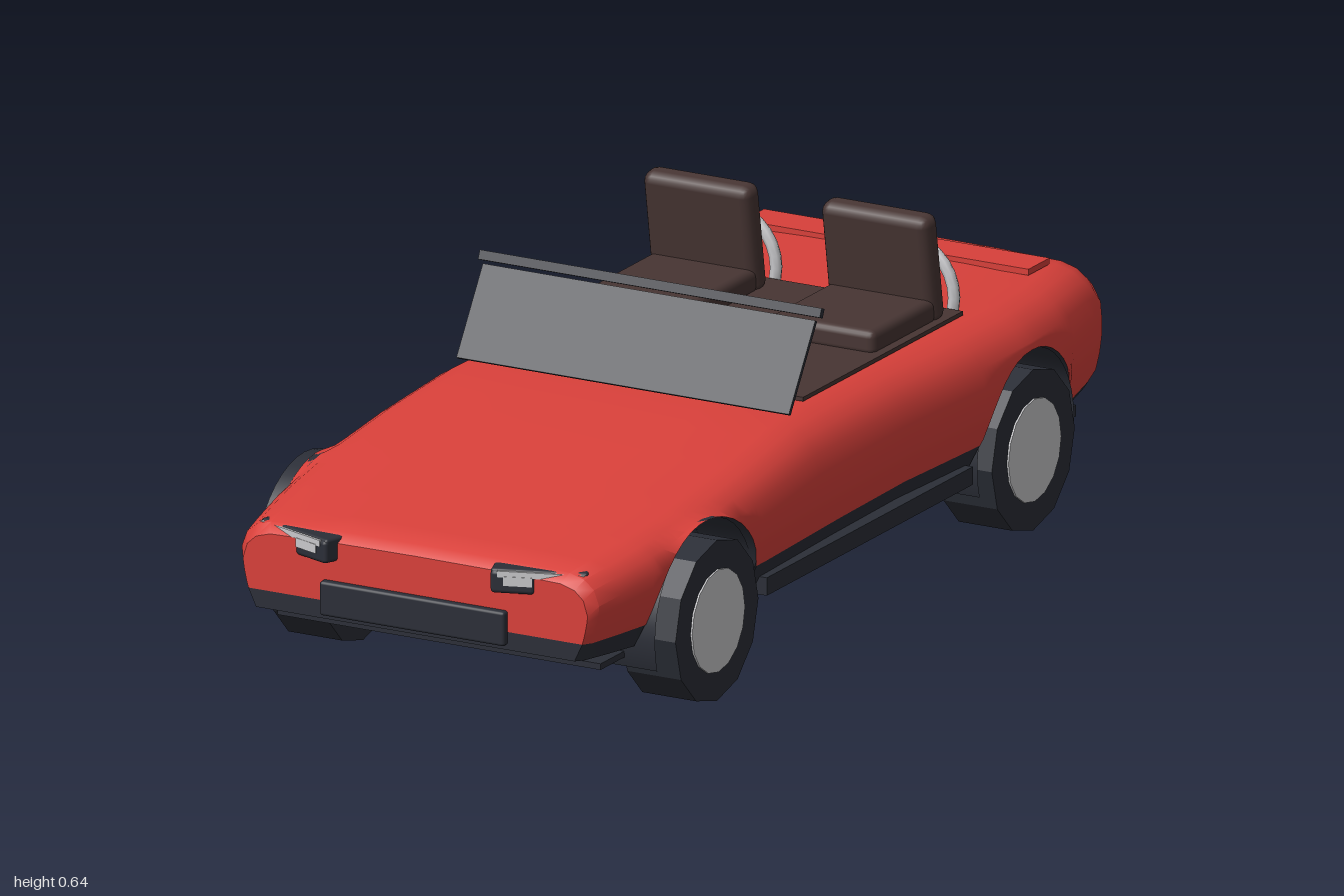
import * as THREE from 'three';
import { toCreasedNormals } from 'three/addons/utils/BufferGeometryUtils.js';
import { RoundedBoxGeometry } from 'three/addons/geometries/RoundedBoxGeometry.js';

const mat = (name, color, side = THREE.FrontSide) => {
  const m = new THREE.MeshStandardMaterial({ color, side });
  m.name = name;
  return m;
};
const red = mat('red paint', 0xd8403a);
const dark = mat('dark trim', 0x2b2e37, THREE.DoubleSide);
const brown = mat('brown leather', 0x473533);
const grey = mat('light grey metal', 0xc8c8cb, THREE.DoubleSide);

// Linear interpolation through [z, value] pairs sorted by rising z
function table(pairs) {
  return (z) => {
    let i = 1;
    while (i < pairs.length - 1 && z > pairs[i][0]) i++;
    const [a, u] = pairs[i - 1], [b, v] = pairs[i];
    return u + (v - u) * THREE.MathUtils.clamp((z - a) / (b - a), 0, 1);
  };
}
const topY = table([[-0.95, 0.395], [-0.93, 0.412], [-0.86, 0.42], [0.2, 0.421], [0.4, 0.401],
  [0.62, 0.376], [0.8, 0.354], [0.965, 0.333], [0.985, 0.316]]);
const halfW = table([[-0.95, 0.375], [-0.9, 0.39], [-0.75, 0.417], [-0.6, 0.432], [-0.4, 0.43],
  [-0.15, 0.416], [0.1, 0.42], [0.4, 0.43], [0.6, 0.428], [0.8, 0.41], [0.96, 0.385], [0.985, 0.37]]);
const trimY = table([[-0.95, 0.2], [-0.78, 0.175], [-0.5, 0.21], [0.6, 0.21], [0.8, 0.195], [0.985, 0.2]]);
const floorY = table([[-0.95, 0.188], [-0.78, 0.155], [-0.5, 0.135], [0.6, 0.135], [0.8, 0.15], [0.985, 0.165]]);

// Wheel arches cut right through the body
const arches = [{ z: 0.62, r: 0.19 }, { z: -0.595, r: 0.185 }];
const archCY = 0.162;
const cut = (y, z) => arches.reduce((v, a) => {
  const d = Math.abs(z - a.z);
  return d < a.r - 1e-6 ? Math.max(v, archCY + Math.sqrt(a.r * a.r - d * d)) : v;
}, y);
const widthAt = (y, z) => halfW(z) * (1 - 4.5 * (y - 0.29) ** 2);

// Skin over profiles placed along z, with both ends capped
function loft(zs, profile) {
  const rows = zs.map((z) => profile(z));
  const pos = [], idx = [], n = rows[0].length;
  rows.forEach((row, i) => row.forEach(([x, y]) => pos.push(x, y, zs[i])));
  for (let i = 0; i < rows.length - 1; i++) {
    for (let j = 0; j < n - 1; j++) {
      const a = i * n + j, b = a + 1, c = a + n, d = c + 1;
      idx.push(a, c, b, b, c, d);
    }
  }
  for (const i of [0, rows.length - 1]) {
    const ys = rows[i].map((p) => p[1]);
    const mid = pos.length / 3;
    pos.push(0, (Math.min(...ys) + Math.max(...ys)) / 2, zs[i]);
    for (let j = 0; j < n; j++) {
      const a = i * n + j, b = i * n + (j + 1) % n;
      if (i) idx.push(mid, b, a); else idx.push(mid, a, b);
    }
  }
  const g = new THREE.BufferGeometry();
  g.setAttribute('position', new THREE.Float32BufferAttribute(pos, 3));
  g.setIndex(idx);
  return toCreasedNormals(g, 0.6);
}

function bodyProfile(z) {
  const t = topY(z), low = cut(trimY(z), z), half = [];
  for (const [f, drop] of [[0.45, 0], [0.84, 0.004], [0.92, 0.013], [0.97, 0.03], [1, 0.06]]) {
    const y = Math.max(t - drop, low);
    half.push([f * widthAt(y, z), y]);
  }
  const y0 = half[4][1];
  for (let k = 1; k <= 4; k++) {
    const y = y0 + (low - y0) * k / 4;
    half.push([widthAt(y, z), y]);
  }
  return [...half.map(([x, y]) => [-x, y]).reverse(), [0, t + 0.001], ...half];
}
function trimProfile(z) {
  const a = cut(trimY(z), z), b = cut(floorY(z), z);
  const wa = widthAt(a, z), wb = widthAt(b, z) - 0.004;
  return [[wa, a], [wb, b], [-wb, b], [-wa, a]];
}

export function createModel() {
  const car = new THREE.Group();
  car.name = 'roadster';
  const add = (name, geo, material, x = 0, y = 0, z = 0, rx = 0, ry = 0, rz = 0) => {
    const m = new THREE.Mesh(geo, material);
    m.name = name;
    m.position.set(x, y, z);
    m.rotation.set(rx, ry, rz);
    car.add(m);
    return m;
  };
  const box = (w, h, d) => new THREE.BoxGeometry(w, h, d);
  const soft = (w, h, d, r) => new RoundedBoxGeometry(w, h, d, 2, r);

  // Body shell and dark lower trim
  const zs = [-0.95, -0.93, -0.9, -0.86, -0.8, -0.3, -0.15, 0, 0.1, 0.2, 0.3, 0.4, 0.85, 0.9, 0.965, 0.985];
  for (const a of arches) {
    for (let k = 0; k <= 20; k++) zs.push(a.z + a.r * Math.cos(Math.PI * k / 20));
  }
  zs.sort((a, b) => a - b);
  add('body', loft(zs, bodyProfile), red);
  add('lowerTrim', loft(zs, trimProfile), dark);

  // Wheel arch liners; the one on the right stands proud of the body
  for (const a of arches) {
    for (const [x0, x1, low] of [[-0.443, -0.215, 0.105], [-0.215, 0.31, 0.122], [0.31, 0.412, 0.105]]) {
      const r = a.r - 0.002, e = Math.asin((archCY - low) / r);
      const g = new THREE.CylinderGeometry(r, r, x1 - x0, 24, 1, true, -e, Math.PI + 2 * e);
      add('archLiner', g.rotateZ(Math.PI / 2), dark, (x0 + x1) / 2, archCY, a.z);
    }
  }

  // Wheels
  const tyre = toCreasedNormals(new THREE.CylinderGeometry(0.157, 0.157, 0.115, 12).rotateZ(Math.PI / 2), 0.3);
  const hub = toCreasedNormals(new THREE.CylinderGeometry(0.1, 0.1, 0.122, 16).rotateZ(Math.PI / 2), 0.6);
  for (const s of [-1, 1]) {
    for (const z of [0.615, -0.582]) {
      add('tyre', tyre, dark, s * 0.378, 0.157, z);
      add('wheelHub', hub, grey, s * 0.378, 0.157, z);
    }
  }

  // Sills, front splitter and rear diffuser
  for (const s of [-1, 1]) add('sill', box(0.03, 0.035, 0.78), dark, s * 0.4, 0.157, 0);
  add('splitter', box(0.69, 0.012, 0.1), dark, 0, 0.13, 0.845);
  add('diffuser', box(0.69, 0.022, 0.12), dark, 0, 0.13, -0.845);

  // Grille
  add('grille', soft(0.395, 0.067, 0.03, 0.006), dark, 0, 0.208, 0.985);

  // Cockpit floor with a raised red centre
  add('cockpitFloor', box(0.64, 0.008, 0.605), brown, 0, 0.423, -0.218);
  const tunnel = new THREE.Shape([[-0.09, -0.09], [0.08, -0.09], [0.07, 0], [0.04, 0.07], [-0.04, 0.07],
    [-0.075, 0]].map(([x, y]) => new THREE.Vector2(x, y)));
  add('cockpitCentre', new THREE.ShapeGeometry(tunnel).rotateX(-Math.PI / 2), red, 0, 0.43, 0);

  // Windscreen and its top rail
  add('windscreen', box(0.71, 0.185, 0.008), dark, 0, 0.507, 0.147, -Math.atan2(0.1, 0.155));
  add('windscreenRail', box(0.73, 0.018, 0.012), dark, 0, 0.6, 0.092, -0.4);

  // Seats and roll hoops
  for (const s of [-1, 1]) {
    add('seatCushion', soft(0.225, 0.05, 0.24, 0.015), brown, s * 0.19, 0.443, -0.333);
    add('seatBack', soft(0.23, 0.22, 0.052, 0.02), brown, s * 0.19, 0.526, -0.448, 0.16);
    add('rollHoop', new THREE.TorusGeometry(0.103, 0.012, 8, 28), grey, s * 0.19, 0.445, -0.535);
  }

  // Headlights: slanted dark pods with a bright strip
  for (const s of [-1, 1]) {
    const lamp = new THREE.Group();
    lamp.name = 'headlight';
    lamp.position.set(s * 0.255, 0.317, 0.96);
    lamp.rotation.y = s * 0.33;
    const part = (name, g, m, x, y, z) => {
      const p = new THREE.Mesh(g, m);
      p.name = name;
      p.position.set(x * s, y, z);
      lamp.add(p);
    };
    part('headlightPod', soft(0.185, 0.022, 0.045, 0.006), dark, 0, 0, 0);
    part('headlightPodInner', soft(0.085, 0.045, 0.04, 0.008), dark, -0.05, -0.014, 0.006);
    part('headlightStrip', box(0.165, 0.012, 0.008), grey, 0.004, 0.002, 0.023);
    part('headlightLens', box(0.055, 0.018, 0.008), grey, -0.04, -0.011, 0.024);
    car.add(lamp);
  }

  // Boot lid, tail lights and rear plate
  add('bootLid', box(0.61, 0.012, 0.08), red, 0, 0.424, -0.835);
  for (const s of [-1, 1]) {
    add('tailLightHousing', soft(0.125, 0.045, 0.025, 0.006), dark, s * 0.19, 0.362, -0.948, 0, s * 0.08);
    add('tailLightLens', box(0.095, 0.026, 0.008), red, s * 0.185, 0.362, -0.962, 0, s * 0.08);
  }
  add('rearPlate', box(0.205, 0.05, 0.008), grey, 0, 0.275, -0.953);

  // Exhaust, flared towards its open end
  const pipe = [[0.014, -0.04], [0.014, 0.02], [0.018, 0.06], [0.025, 0.07], [0.025, 0.11], [0.018, 0.11],
    [0.018, 0.08]].map(([r, y]) => new THREE.Vector2(r, y));
  add('exhaust', toCreasedNormals(new THREE.LatheGeometry(pipe, 14).rotateX(-Math.PI / 2), 0.6), grey, 0.235, 0.174, -0.89);
  add('exhaustCore', new THREE.CircleGeometry(0.018, 14), dark, 0.235, 0.174, -0.975, 0, Math.PI);

  return car;
}
